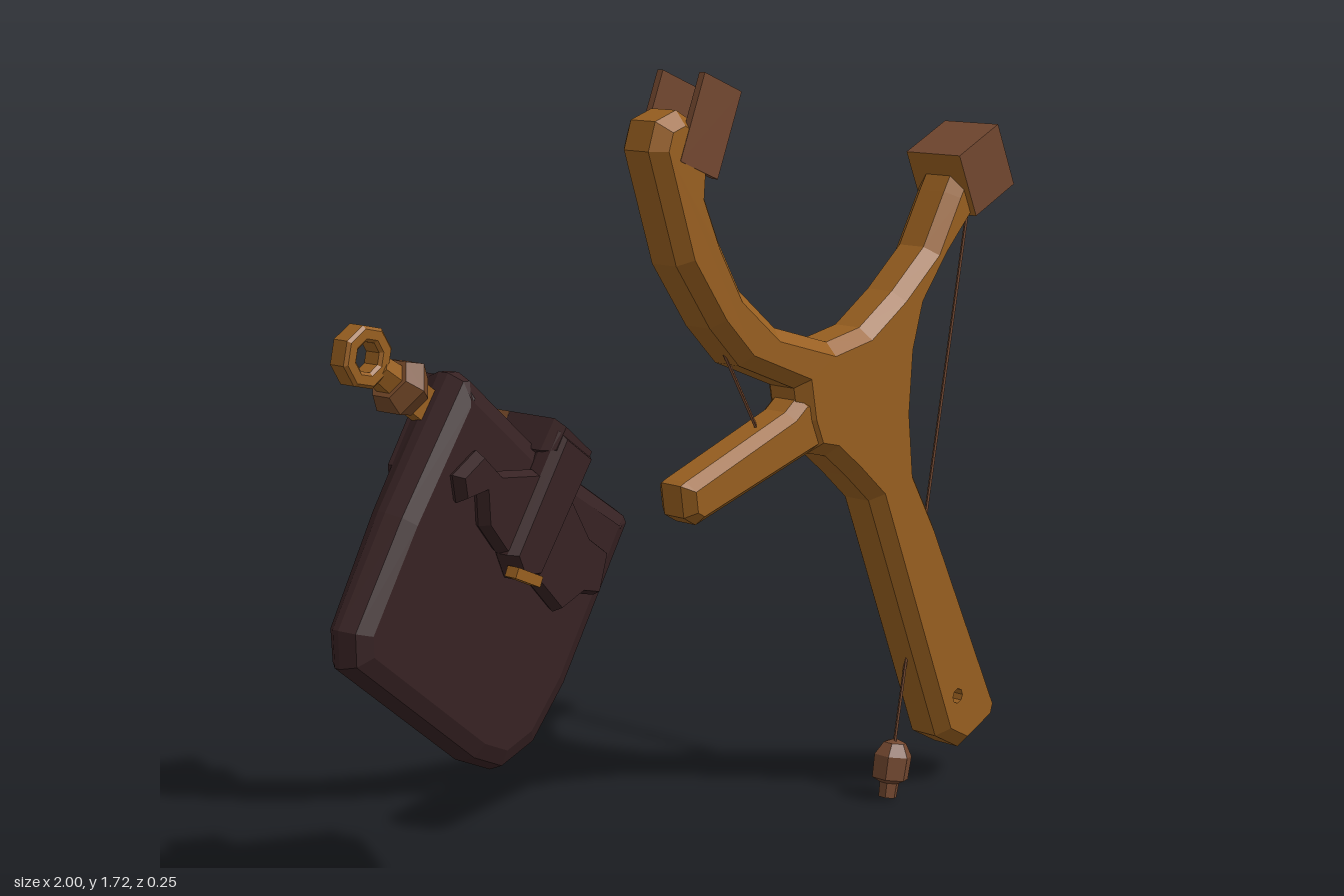
import * as THREE from 'three';

const mat = (name, color) => {
  const m = new THREE.MeshStandardMaterial({ color });
  m.name = name;
  return m;
};

export function createModel() {
  const wood = mat('wood', 0x985f20);
  const leather = mat('brown leather', 0x72472f);
  const strapBrown = mat('strap brown', 0x744828);
  const dark = mat('dark leather', 0x372223);
  const model = new THREE.Group();
  model.name = 'slingshotSet';

  const add = (parent, name, geometry, material, x = 0, y = 0, z = 0, rz = 0) => {
    const g = geometry.index ? geometry.toNonIndexed() : geometry;
    g.computeVertexNormals(); // faceted look
    const m = new THREE.Mesh(g, material);
    m.name = name;
    m.position.set(x, y, z);
    m.rotation.z = rz;
    parent.add(m);
  };
  const shapeOf = (pts) => new THREE.Shape(pts.map(([x, y]) => new THREE.Vector2(x, y)));
  // Chamfered plate between z0 and z1 whose widest outline is the given shape
  const plate = (shape, z0, z1, bevel, bevelZ = bevel, segments = 1) => {
    const g = new THREE.ExtrudeGeometry(shape, {
      depth: z1 - z0 - 2 * bevelZ, bevelEnabled: true, bevelSize: bevel,
      bevelOffset: -bevel, bevelThickness: bevelZ, bevelSegments: segments, curveSegments: 4,
    });
    return g.translate(0, 0, z0 + bevelZ);
  };
  // Flat band between two points, its face turned 45 degrees
  const band = (name, a, b) => {
    const dx = b[0] - a[0], dy = b[1] - a[1];
    const g = new THREE.BoxGeometry(0.024, Math.hypot(dx, dy), 0.005).rotateY(-Math.PI / 4);
    add(model, name, g, leather, (a[0] + b[0]) / 2, (a[1] + b[1]) / 2, -0.01, Math.atan2(-dx, dy));
  };

  // Forked branch: left arm, right arm and handle in one outline
  const fork = shapeOf([
    [-0.17, 1.57], [-0.14, 1.48], [-0.09, 1.33], [0.01, 1.19], [0.10, 1.10], [0.275, 1.03],
    [0.29, 0.95], [0.32, 0.88], [0.38, 0.865], [0.45, 0.81], [0.53, 0.74], [0.785, 0.13],
    [0.87, 0.085], [0.98, 0.135], [0.995, 0.18], [0.755, 0.655], [0.675, 0.79], [0.66, 0.93],
    [0.67, 1.07], [0.70, 1.17], [0.78, 1.27], [0.88, 1.37], [0.92, 1.45], [0.83, 1.50],
    [0.78, 1.42], [0.71, 1.30], [0.60, 1.21], [0.49, 1.14], [0.38, 1.12], [0.21, 1.17],
    [0.10, 1.26], [0.035, 1.37], [-0.01, 1.47], [0.0, 1.60], [-0.09, 1.65], [-0.15, 1.63],
  ]);
  const [hx, hy] = [0.83, 0.225];
  const hole = new THREE.Path();
  hole.absarc(hx, hy, 0.009, 0, Math.PI * 2, true);
  fork.holes.push(hole);
  const forkGeo = plate(fork, -0.08, 0.05, 0.028, 0.03);
  // Bring the bevelled hole to a narrow straight bore
  const p = forkGeo.attributes.position;
  for (let i = 0; i < p.count; i++) {
    const x = p.getX(i) - hx, y = p.getY(i) - hy, r = Math.hypot(x, y);
    if (r < 0.05) p.setXY(i, hx + x / r * 0.018, hy + y / r * 0.018);
  }
  add(model, 'forkedBranch', forkGeo, wood);

  // Side twig, slightly thinner
  add(model, 'sideTwig', plate(shapeOf([
    [-0.075, 0.865], [-0.065, 0.795], [-0.03, 0.775], [0.31, 0.875], [0.4, 0.9], [0.4, 1.0],
    [0.29, 1.01], [0.25, 0.98], [-0.06, 0.872],
  ]), -0.065, 0.042, 0.02, 0.025), wood);

  // Leather wrap on the right tip: leather on front, back and top only
  add(model, 'rightTipWrap', new THREE.BoxGeometry(0.152, 0.155, 0.155),
    [wood, wood, leather, wood, leather, leather], 0.88, 1.465, -0.013, 0.43);
  // Two leather plates on the left tip
  for (const z of [0.043, -0.077]) {
    add(model, 'leftTipPlate', new THREE.BoxGeometry(0.118, 0.19, 0.016), leather, -0.018, 1.615, z, -0.385);
  }

  band('longBand', [0.915, 1.42], [0.665, 0.1]);
  band('shortBand', [0.06, 1.17], [0.2, 0.93]);

  // Toggle hanging from the long band
  const toggle = [[0, 0], [0.024, 0.0], [0.026, 0.035], [0.048, 0.045], [0.05, 0.1], [0.03, 0.13], [0, 0.14]];
  add(model, 'toggle', new THREE.LatheGeometry(toggle.map(([x, y]) => new THREE.Vector2(x, y)), 6)
    .scale(1, 1, 0.85), leather, 0.648, 0.005, -0.01, -0.19);

  // Pouch, built upright and then tilted
  const pouch = new THREE.Group();
  pouch.name = 'pouch';
  pouch.position.set(-0.61, 0.77, 0.005);
  pouch.rotation.set(0, 0.065, -0.628, 'YXZ');
  model.add(pouch);
  // The back of the pouch gets shallower towards the bottom
  const taperBack = (g) => {
    const q = g.attributes.position;
    for (let i = 0; i < q.count; i++) {
      if (q.getZ(i) < 0) q.setZ(i, q.getZ(i) * (0.78 + 0.75 * q.getY(i)));
    }
    return g;
  };

  add(pouch, 'pouchBody', taperBack(plate(shapeOf([
    [-0.315, 0.28], [-0.312, -0.02], [-0.295, -0.26], [-0.25, -0.32], [0.15, -0.343], [0.24, -0.325],
    [0.3, -0.24], [0.315, -0.1], [0.295, 0.265], [0.27, 0.278], [0.0, 0.268], [-0.29, 0.295],
  ]), -0.08, 0.045, 0.045, 0.05, 2)), dark);

  // Back flap
  add(pouch, 'backFlap', taperBack(plate(shapeOf([
    [-0.3, 0.28], [-0.3, 0.08], [-0.25, 0.01], [-0.15, -0.02], [0.15, -0.02], [0.25, 0.01],
    [0.295, 0.08], [0.285, 0.27],
  ]), -0.108, -0.02, 0.03)), dark);

  // Bow-shaped loop panel on the front
  add(pouch, 'frontPanel', plate(shapeOf([
    [-0.25, 0.1], [-0.21, 0.06], [-0.17, 0.1], [-0.13, 0.05], [-0.06, 0.03], [0.06, 0.02],
    [0.16, 0.0], [0.2, 0.06], [0.25, 0.08], [0.22, 0.17], [0.15, 0.17], [0.06, 0.21],
    [-0.06, 0.21], [-0.15, 0.16], [-0.22, 0.17],
  ]), 0.03, 0.08, 0.01, 0.025), dark);

  // Strap: dark over the top and front, brown on the back with a leaf-shaped end
  add(pouch, 'frontStrap', plate(shapeOf([
    [-0.06, 0.3], [-0.05, 0.03], [0, 0.0], [0.05, 0.03], [0.05, 0.3],
  ]), 0.03, 0.1, 0.012, 0.02), dark);
  add(pouch, 'topStrap', plate(shapeOf([
    [-0.065, 0.25], [0.05, 0.25], [0.05, 0.315], [-0.065, 0.322],
  ]), -0.09, 0.09, 0.01, 0.03), dark);
  add(pouch, 'backStrap', taperBack(plate(shapeOf([
    [-0.065, 0.322], [-0.045, 0.02], [-0.07, -0.05], [-0.06, -0.15], [0, -0.22],
    [0.06, -0.15], [0.07, -0.05], [0.045, 0.02], [0.05, 0.317],
  ]), -0.122, -0.05, 0.012)), strapBrown);
  add(pouch, 'strapStud', new THREE.BoxGeometry(0.075, 0.022, 0.03), wood, 0.005, 0.012, 0.092, 0.2);

  // Swivel clip on the upper corner
  const clip = new THREE.Group();
  clip.name = 'swivelClip';
  clip.position.set(-0.505, 0.208, -0.035);
  pouch.add(clip);
  const ring = new THREE.Shape();
  ring.absarc(0, 0, 0.062, 0, Math.PI * 2, false);
  const eye = new THREE.Path();
  eye.absarc(0, 0, 0.03, 0, Math.PI * 2, true);
  ring.holes.push(eye);
  add(clip, 'clipRing', plate(ring, -0.024, 0.024, 0.006), wood);
  const turned = (name, r0, r1, length, x, material) =>
    add(clip, name, new THREE.CylinderGeometry(r1, r0, length, 6).rotateZ(-Math.PI / 2), material, x);
  turned('clipNeck', 0.03, 0.036, 0.06, 0.075, wood);
  turned('clipCollarFront', 0.045, 0.064, 0.035, 0.105, strapBrown);
  turned('clipCollarBack', 0.064, 0.045, 0.035, 0.14, strapBrown);
  add(clip, 'clipTab', new THREE.BoxGeometry(0.12, 0.065, 0.035), wood, 0.2);

  return model;
}
